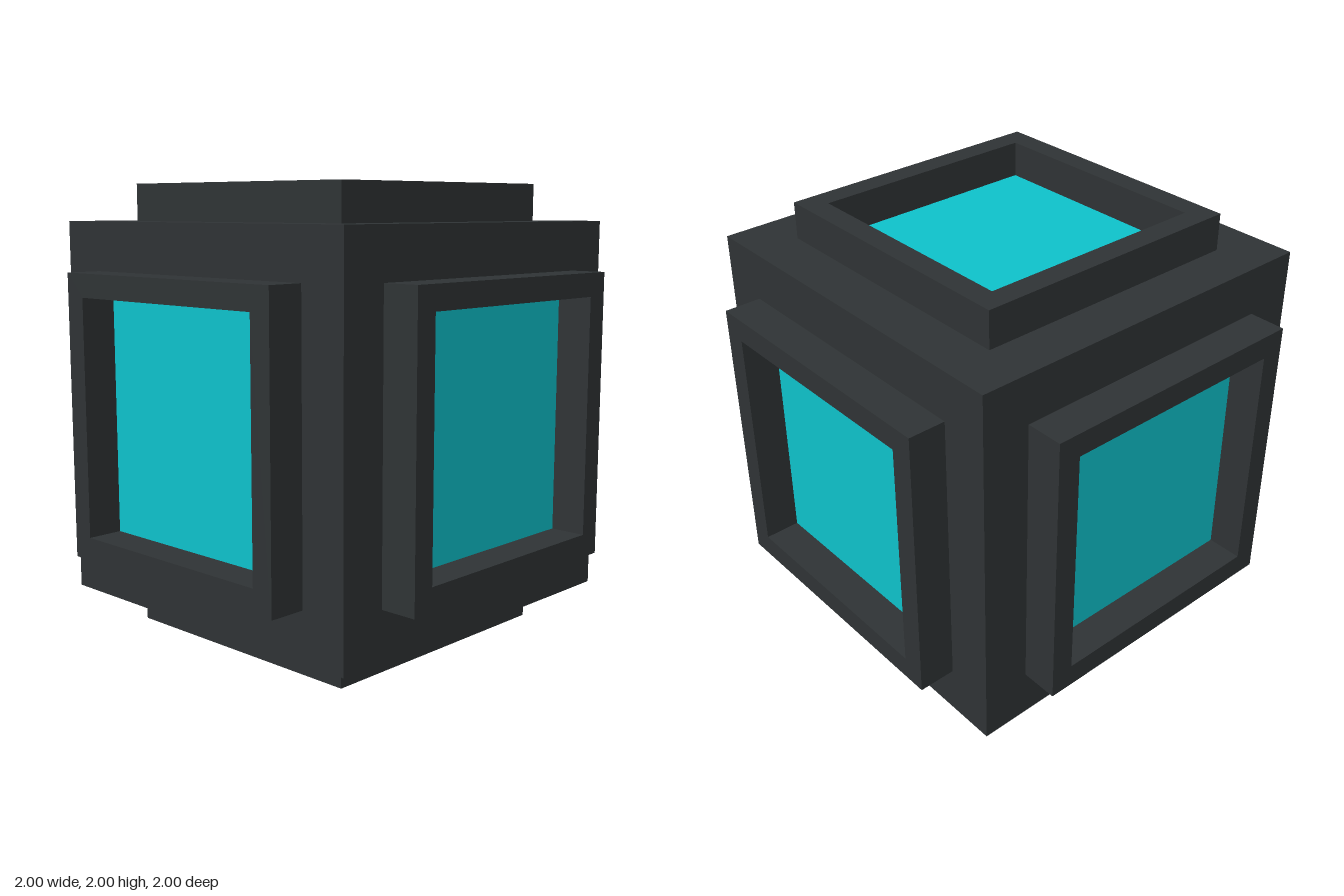
import * as THREE from 'three';

const CORE = 0.837;   // half size of the cube
const FRAME = 0.623;  // half size of a frame's outer edge
const OPENING = 0.521; // half size of a frame's opening

function square(Type, h) {
  return new Type([[-h, -h], [h, -h], [h, h], [-h, h]].map(([x, y]) => new THREE.Vector2(x, y)));
}

export function createModel() {
  const model = new THREE.Group();
  model.name = 'framedCube';
  const dark = new THREE.MeshStandardMaterial({ color: 0x2f3335 });
  const cyan = new THREE.MeshStandardMaterial({ color: 0x0ec2cb });

  // Solid cube in the middle
  const core = new THREE.Mesh(new THREE.BoxGeometry(CORE * 2, CORE * 2, CORE * 2), dark);
  core.name = 'coreCube';
  core.position.y = 1;
  model.add(core);

  // Raised square frame with an open middle
  const outline = square(THREE.Shape, FRAME);
  outline.holes.push(square(THREE.Path, OPENING));
  const frameGeometry = new THREE.ExtrudeGeometry(outline, { depth: 1 - CORE, bevelEnabled: false });
  const panelGeometry = new THREE.PlaneGeometry(OPENING * 2, OPENING * 2);

  // One frame and glowing panel on each of the six sides: [name, turn x, turn y]
  const q = Math.PI / 2;
  const sides = [
    ['front', 0, 0], ['back', 0, 2 * q], ['left', 0, q],
    ['right', 0, -q], ['top', -q, 0], ['bottom', q, 0],
  ];
  for (const [name, rx, ry] of sides) {
    const side = new THREE.Group();
    side.name = name + 'Window';
    side.position.y = 1;
    side.rotation.set(rx, ry, 0);

    const frame = new THREE.Mesh(frameGeometry, dark);
    frame.name = name + 'Frame';
    frame.position.z = CORE;

    const panel = new THREE.Mesh(panelGeometry, cyan);
    panel.name = name + 'Panel';
    panel.position.z = CORE + 0.004;

    side.add(frame, panel);
    model.add(side);
  }
  return model;
}
